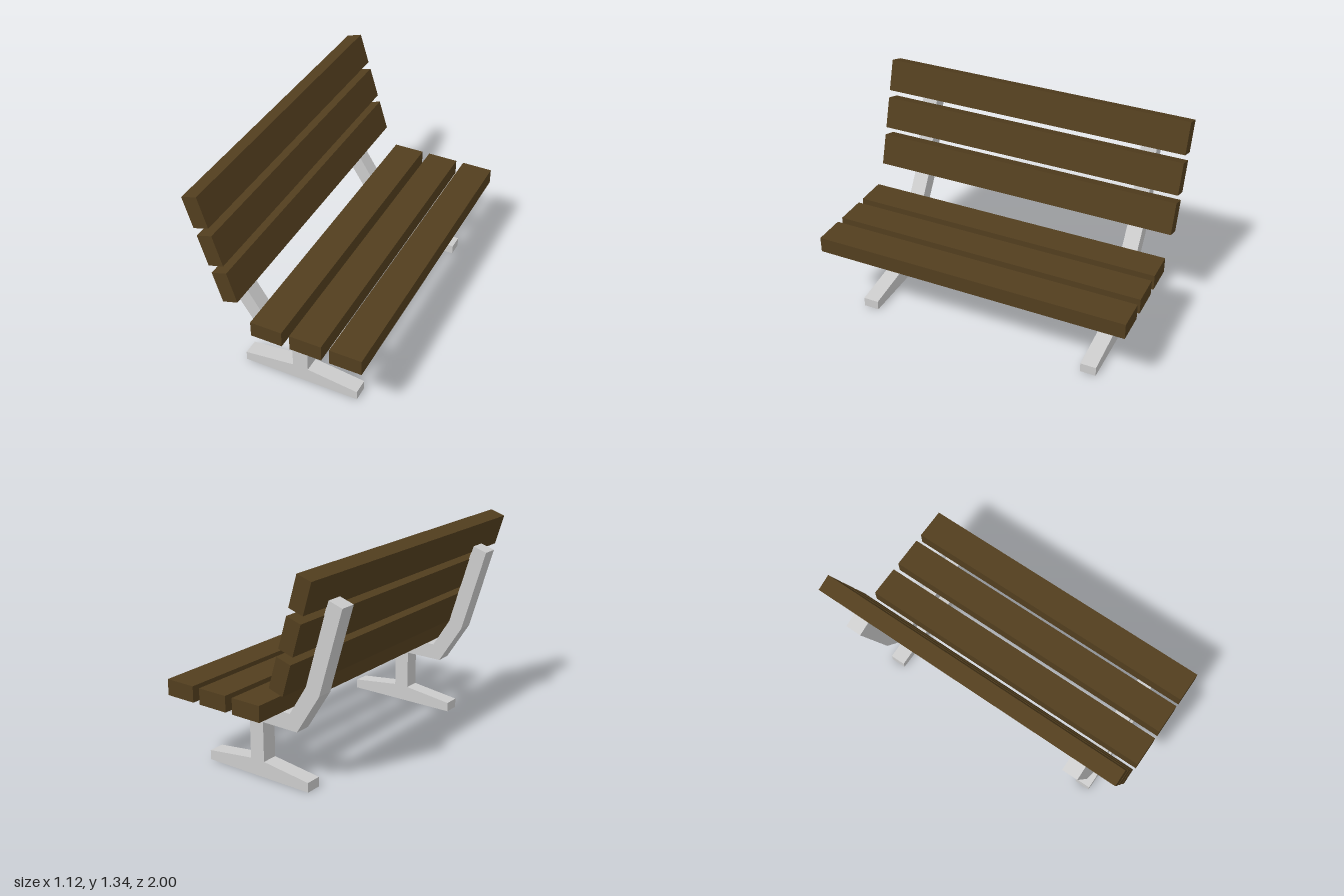
import * as THREE from 'three';

// Side outline of one cast frame: foot, post, seat arm and bent back arm
const FRAME = [
  [-0.315, 0], [0.435, 0], [0.435, 0.06], [0.11, 0.1], [0.11, 0.35], [0.36, 0.35],
  [0.36, 0.45], [-0.19, 0.45], [-0.307, 0.635], [-0.465, 1.16], [-0.56, 1.13],
  [-0.4, 0.6], [-0.24, 0.35], [0.01, 0.35], [0.01, 0.1], [-0.315, 0.06],
];

export function createModel() {
  const bench = new THREE.Group();
  bench.name = 'bench';
  const metal = new THREE.MeshStandardMaterial({ color: 0xcccccc, flatShading: true });
  const wood = new THREE.MeshStandardMaterial({ color: 0x523e1e, flatShading: true });

  // Two support frames
  const outline = new THREE.Shape(FRAME.map(([x, y]) => new THREE.Vector2(x, y)));
  const frameGeo = new THREE.ExtrudeGeometry(outline, { depth: 0.1, bevelEnabled: false });
  frameGeo.translate(0, 0, -0.05);
  for (const z of [-0.75, 0.75]) {
    const frame = new THREE.Mesh(frameGeo, metal);
    frame.name = z > 0 ? 'frontFrame' : 'rearFrame';
    frame.position.z = z;
    bench.add(frame);
  }

  // Planks running the whole length
  const plankGeo = new THREE.BoxGeometry(0.2, 0.1, 2);
  const addPlank = (name, x, y, angle) => {
    const plank = new THREE.Mesh(plankGeo, wood);
    plank.name = name;
    plank.position.set(x, y, 0);
    plank.rotation.z = angle;
    bench.add(plank);
  };
  for (let i = 0; i < 3; i++) {
    addPlank(`seatPlank${i + 1}`, -0.04 + i * 0.25, 0.5, 0);
    addPlank(`backPlank${i + 1}`, -0.291 - i * 0.0733, 0.753 + i * 0.2385, Math.PI / 2 + 0.295);
  }
  return bench;
}
